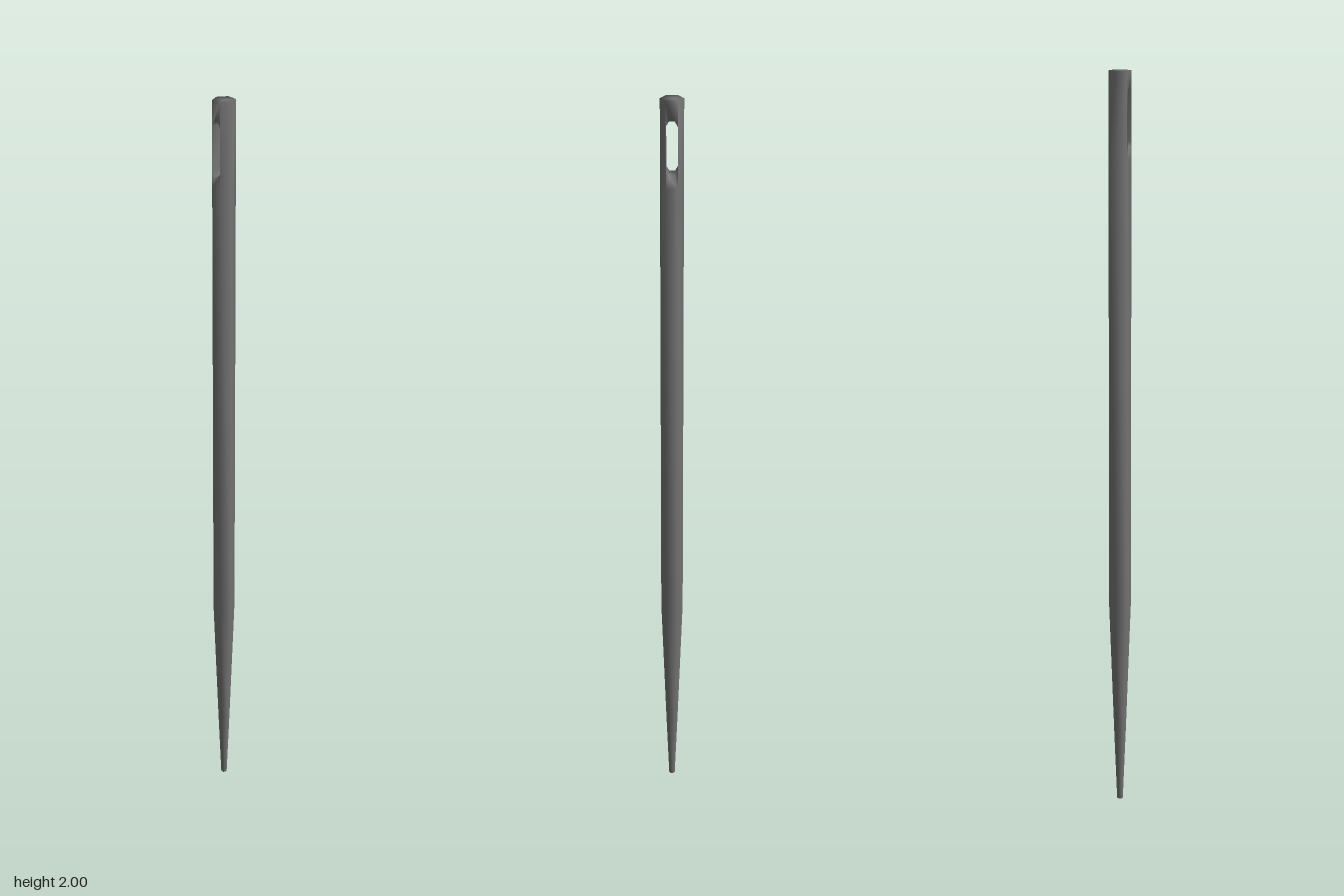
import * as THREE from 'three';
import { mergeGeometries, mergeVertices } from 'three/addons/utils/BufferGeometryUtils.js';

const R = 0.0295;                 // corner radius of the hexagonal shank
const F = R / 2;                  // half width of its front face
const D = R * Math.sqrt(3) / 2;   // half depth
const HEAD = 1.78;                // where the pierced head begins
const TOP = 2;

// Hexagonal shank tapering to a blunt point
function shankGeometry() {
  const profile = [[0, 0], [0.008, 0], [0.016, 0.2], [R, 0.57], [R, HEAD]];
  return new THREE.LatheGeometry(profile.map(([r, y]) => new THREE.Vector2(r, y)), 6, Math.PI / 2);
}

// Pierced head: front face extruded through, its middle section widened to a hexagon
function headGeometry() {
  const outline = [[-F, HEAD], [F, HEAD], [F, TOP], [-F, TOP]];
  const shape = new THREE.Shape(outline.map(([x, y]) => new THREE.Vector2(x, y)));
  const w = 0.0145;
  const eye = [[-0.007, 1.81], [-w, 1.823], [-w, 1.937], [-0.007, 1.95],
    [0.007, 1.95], [w, 1.937], [w, 1.823], [0.007, 1.81]];
  shape.holes.push(new THREE.Path(eye.map(([x, y]) => new THREE.Vector2(x, y))));
  const geo = new THREE.ExtrudeGeometry(shape, { depth: 2 * D, steps: 2, bevelEnabled: false });
  geo.translate(0, 0, -D);
  const p = geo.attributes.position;
  for (let i = 0; i < p.count; i++) {
    if (Math.abs(p.getZ(i)) < 0.001 && Math.abs(p.getX(i)) > F - 0.0001) p.setX(i, p.getX(i) * 2);
  }

  // Leave both ends open: the shank and the cap close them
  const kept = [];
  for (let i = 0; i < p.count; i += 3) {
    const ys = [0, 1, 2].map(k => p.getY(i + k));
    const isEnd = [HEAD, TOP].some(end => ys.every(y => Math.abs(y - end) < 0.001));
    if (!isEnd) kept.push(...p.array.slice(i * 3, i * 3 + 9));
  }
  return new THREE.BufferGeometry().setAttribute('position', new THREE.Float32BufferAttribute(kept, 3));
}

// Flat end above the eye
function capGeometry() {
  return new THREE.CircleGeometry(R, 6).rotateX(-Math.PI / 2).translate(0, TOP, 0);
}

export function createModel() {
  const parts = [shankGeometry().toNonIndexed(), headGeometry(), capGeometry().toNonIndexed()];
  for (const part of parts) part.deleteAttribute('normal').deleteAttribute('uv');

  // Weld everything so the shading runs smoothly over all edges
  const geo = mergeVertices(mergeGeometries(parts), 1e-5);
  geo.computeVertexNormals();

  const needle = new THREE.Mesh(geo, new THREE.MeshStandardMaterial({ color: 0x757575 }));
  needle.name = 'needle';
  const group = new THREE.Group();
  group.name = 'sewingNeedle';
  group.add(needle);
  return group;
}
